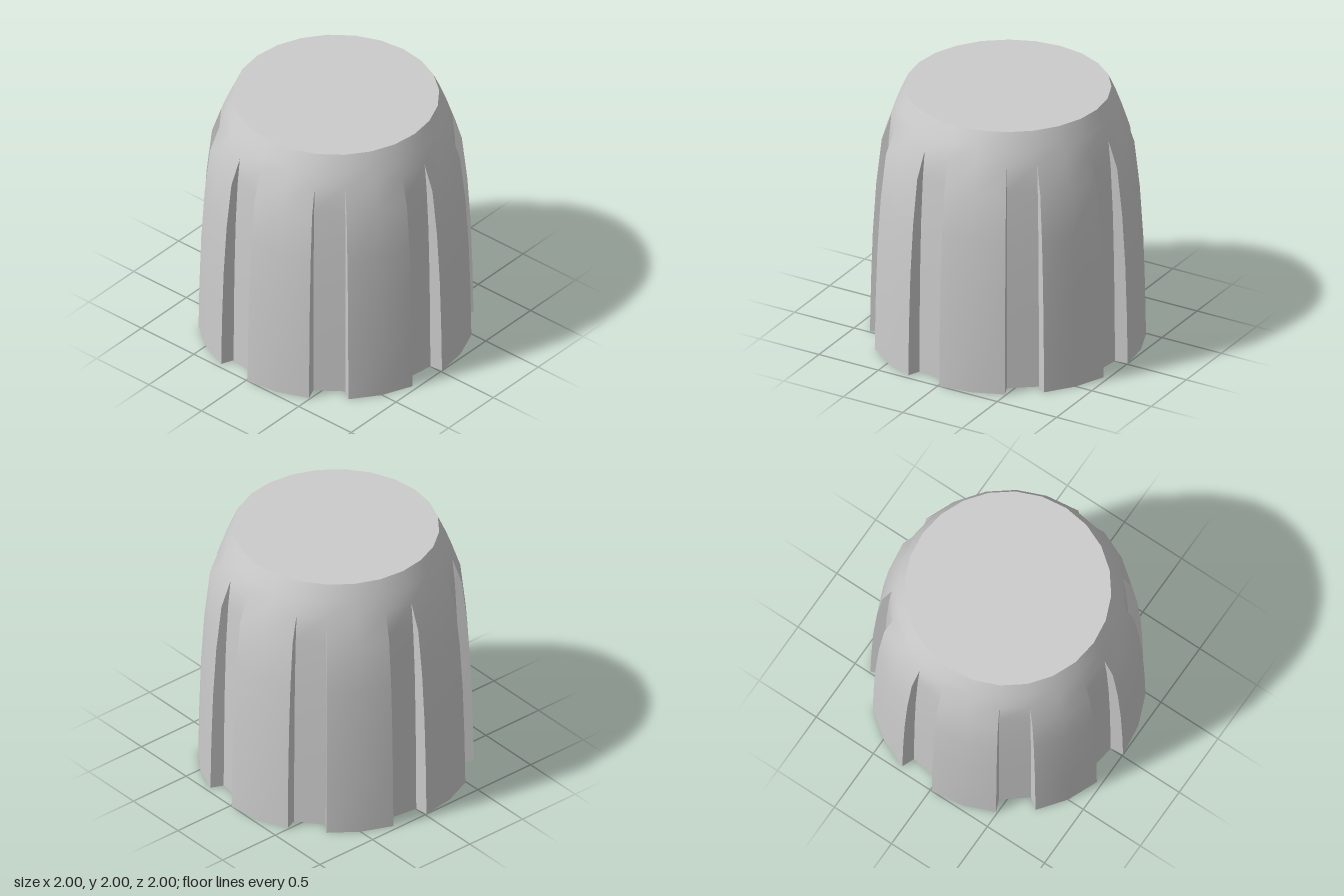
import * as THREE from 'three';
import { toCreasedNormals } from 'three/addons/utils/BufferGeometryUtils.js';

const RIBS = 8;
const PERIOD = 360 / RIBS;

// [height, rib radius, groove floor radius]
const PROFILE = [
  [0, 1, 0.9],
  [0.4, 0.993, 0.897],
  [0.8, 0.98, 0.892],
  [1.2, 0.955, 0.882],
  [1.56, 0.915, 0.864],
  [1.77, 0.845, 0.845],
  [1.88, 0.803, 0.803],
  [2, 0.75, 0.75],
];

const polar = (deg, r, y) => {
  const a = THREE.MathUtils.degToRad(deg);
  return [Math.cos(a) * r, y, -Math.sin(a) * r];
};

// One closed cross-section: each rib has three outer points and two groove corners
function ring([y, rib, groove]) {
  const inset = 7 * (rib - groove); // rib sides lean in slightly
  const points = [];
  for (let i = 0; i < RIBS; i++) {
    const a = i * PERIOD;
    points.push(
      polar(a, groove, y),
      polar(a + inset, rib, y),
      polar(a + 15, rib, y),
      polar(a + 30 - inset, rib, y),
      polar(a + 30, groove, y),
    );
  }
  return points;
}

function fromTriangles(triangles) {
  const geometry = new THREE.BufferGeometry();
  geometry.setAttribute('position', new THREE.Float32BufferAttribute(triangles.flat(2), 3));
  return toCreasedNormals(geometry, 0.5);
}

const same = (p, q) => Math.hypot(p[0] - q[0], p[1] - q[1], p[2] - q[2]) < 1e-6;

// Two triangles per quad, dropping any that collapse where grooves run out
function quad(out, a, b, c, d) {
  for (const t of [[a, b, c], [a, c, d]]) {
    if (!same(t[0], t[1]) && !same(t[1], t[2]) && !same(t[2], t[0])) out.push(t);
  }
}

export function createModel() {
  const group = new THREE.Group();
  group.name = 'ribbedCap';
  const material = new THREE.MeshStandardMaterial({ color: 0xcccccc, side: THREE.DoubleSide });
  const add = (name, triangles) => {
    const mesh = new THREE.Mesh(fromTriangles(triangles), material);
    mesh.name = name;
    group.add(mesh);
  };

  const rings = PROFILE.map(ring);
  const count = rings[0].length;

  // Thin fluted wall that tapers into a smooth shoulder
  const wall = [];
  for (let j = 0; j < rings.length - 1; j++) {
    for (let i = 0; i < count; i++) {
      const k = (i + 1) % count;
      quad(wall, rings[j][i], rings[j][k], rings[j + 1][k], rings[j + 1][i]);
    }
  }
  add('flutedWall', wall);

  // Flat closed top
  const top = rings[rings.length - 1];
  const lid = [];
  for (let i = 0; i < count; i++) {
    const next = top[(i + 1) % count];
    if (!same(top[i], next)) lid.push([[0, 2, 0], top[i], next]);
  }
  add('topDisc', lid);

  // Flat lip closing the underside of every rib
  const lips = [];
  for (let i = 0; i < RIBS; i++) {
    const [innerA, outerA, outerMid, outerB, innerB] = rings[0].slice(i * 5, i * 5 + 5);
    const innerMid = polar(i * PERIOD + 15, PROFILE[0][2], 0);
    quad(lips, innerA, innerMid, outerMid, outerA);
    quad(lips, innerMid, innerB, outerB, outerMid);
  }
  add('ribLips', lips);

  return group;
}
